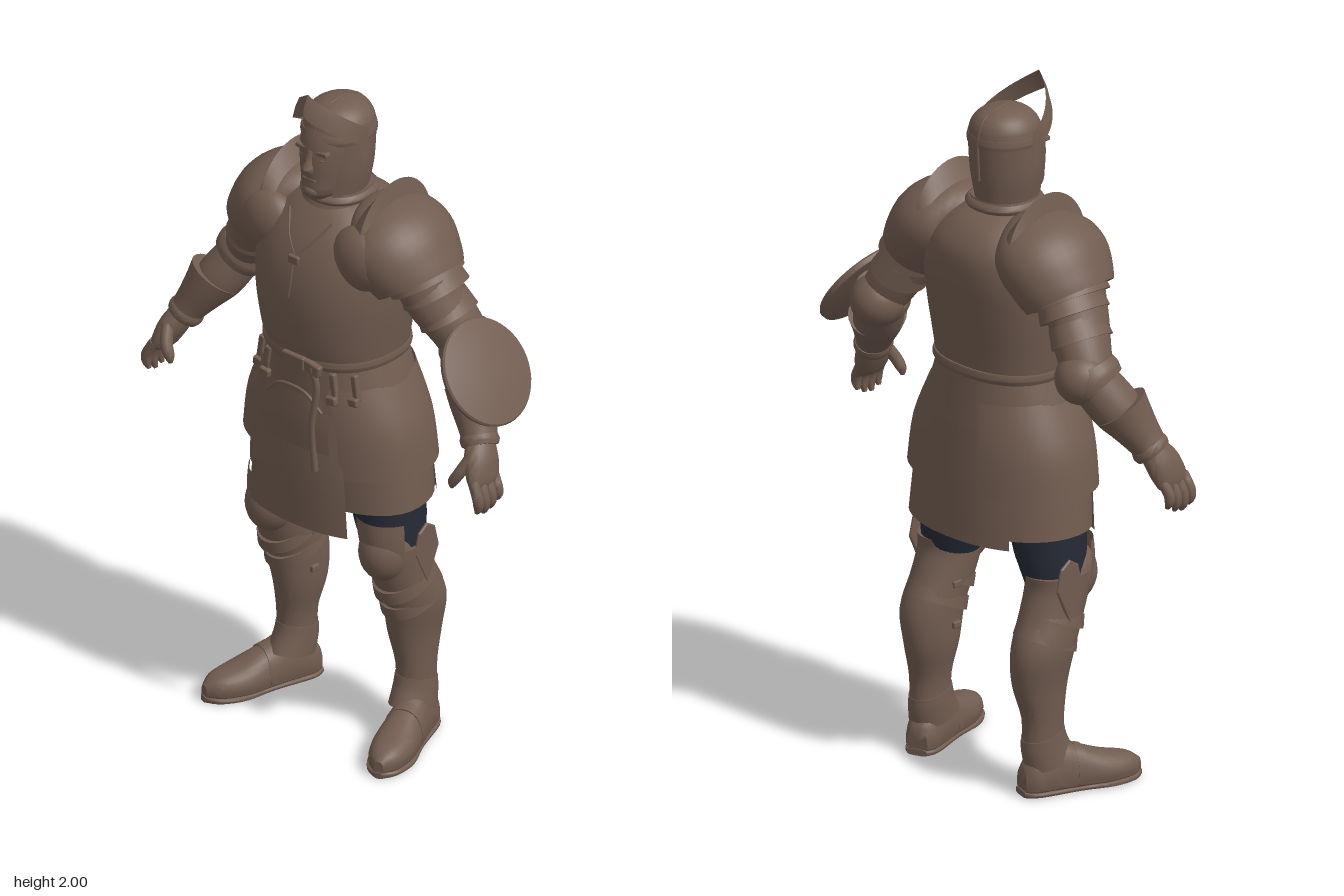
import * as THREE from 'three';
import { toCreasedNormals } from 'three/addons/utils/BufferGeometryUtils.js';
import { RoundedBoxGeometry } from 'three/addons/geometries/RoundedBoxGeometry.js';

const V = (x, y, z) => new THREE.Vector3(x, y, z);
const UP = V(0, 1, 0), FRONT = V(0, 0, 1), PI = Math.PI;

function surface(rows, caps) {
  const pos = [], idx = [], m = rows[0].length;
  rows.forEach(r => r.forEach(p => pos.push(p.x, p.y, p.z)));
  for (let i = 0; i < rows.length - 1; i++) for (let j = 0; j < m - 1; j++) {
    const a = i * m + j, c = a + m;
    idx.push(a, c, a + 1, a + 1, c, c + 1);
  }
  if (caps) [0, rows.length - 1].forEach((r, end) => {
    const mid = rows[r].reduce((q, p) => q.add(p), V(0, 0, 0)).divideScalar(m);
    const k = pos.length / 3;
    pos.push(mid.x, mid.y, mid.z);
    for (let j = 0; j < m - 1; j++) idx.push(k, r * m + j + (end ? 1 : 0), r * m + j + (end ? 0 : 1));
  });
  const g = new THREE.BufferGeometry();
  g.setAttribute('position', new THREE.Float32BufferAttribute(pos, 3));
  g.setIndex(idx);
  return toCreasedNormals(g, 0.75);
}

// Smooth loft through sections [x, y, z, sideRadius, frontRadius, backRadius?]
function loft(secs, { ref = FRONT, tan = null, n = 28, pow = 2, arc = null, caps = !arc, steps = 4 } = {}) {
  const S = secs.map(s => (s.length < 6 ? [...s, s[4]] : s)), K = S.length - 1, fine = [];
  const at = i => S[Math.min(K, Math.max(0, i))];
  for (let i = 0; i <= K * steps; i++) {
    const k = Math.min(K - 1, Math.floor(i / steps)), t = i / steps - k;
    fine.push(at(k).map((b, c) => {
      const a = at(k - 1)[c], d = at(k + 1)[c], e = at(k + 2)[c];
      return b + 0.5 * t * (d - a + t * (2 * a - 5 * b + 4 * d - e + t * (3 * (b - d) + e - a)));
    }));
  }
  const [a0, a1] = arc || [0, 2 * PI];
  const rows = fine.map((f, i) => {
    const p = fine[Math.max(0, i - 1)], q = fine[Math.min(fine.length - 1, i + 1)];
    const t = (tan ? tan.clone() : V(q[0] - p[0], q[1] - p[1], q[2] - p[2])).normalize();
    const w = ref.clone().addScaledVector(t, -ref.dot(t)).normalize();
    const s = t.clone().cross(w);
    return Array.from({ length: n + 1 }, (_, j) => {
      const th = a0 + (a1 - a0) * j / n, c = Math.cos(th), d = Math.sin(th);
      return V(f[0], f[1], f[2])
        .addScaledVector(s, f[3] * Math.sign(c) * Math.abs(c) ** (2 / pow))
        .addScaledVector(w, (d > 0 ? f[4] : f[5]) * Math.sign(d) * Math.abs(d) ** (2 / pow));
    });
  });
  return surface(rows, caps);
}

export function createModel() {
  const model = new THREE.Group();
  const steel = new THREE.MeshStandardMaterial({ color: 0x715c50, side: THREE.DoubleSide });
  steel.name = 'brown steel';
  const cloth = new THREE.MeshStandardMaterial({ color: 0x262a35, side: THREE.DoubleSide });
  cloth.name = 'navy cloth';
  const add = (name, geo, mat = steel) => {
    const m = new THREE.Mesh(geo, mat);
    m.name = name;
    model.add(m);
    return m;
  };
  const ball = (name, x, y, z, rx, ry, rz) => {
    const m = add(name, new THREE.SphereGeometry(1, 24, 16));
    m.position.set(x, y, z); m.scale.set(rx, ry, rz);
    return m;
  };
  const box = (name, x, y, z, w, h, d, rz = 0) => {
    const m = add(name, new RoundedBoxGeometry(w, h, d, 2, Math.min(w, h, d) * 0.3));
    m.position.set(x, y, z); m.rotation.z = rz;
    return m;
  };
  const tube = (name, pts, r) => add(name, new THREE.TubeGeometry(
    new THREE.CatmullRomCurve3(pts.map(p => V(...p))), 24, r, 6));
  const flat = (o = {}) => ({ tan: UP, pow: 2.3, n: 40, ...o });

  // Torso
  add('breastplate', loft([[0, 1.18, 0, .195, .185, .157], [0, 1.26, 0, .208, .205, .165], [0, 1.38, 0, .224, .215, .182],
    [0, 1.48, 0, .225, .2, .195], [0, 1.56, 0, .2, .165, .19], [0, 1.62, 0, .14, .12, .15], [0, 1.65, 0, .09, .09, .1]], flat()));
  add('gorget', loft([[0, 1.6, 0, .125, .13, .135], [0, 1.635, 0, .1, .105, .105], [0, 1.68, 0, .09, .09, .09]], flat({ caps: false })));
  add('gorgetRim', loft([[0, 1.65, 0, .097, .1, .1], [0, 1.662, 0, .103, .106, .104], [0, 1.675, 0, .094, .096, .094]], flat()));
  for (const s of [-1, 1]) tube('neckCord', [[s * .075, 1.615, .12], [s * .04, 1.56, .161], [0, 1.515, .185]], .004);
  box('chestClasp', 0, 1.505, .187, .038, .028, .016);
  tube('claspTail', [[0, 1.49, .195], [.004, 1.45, .205], [0, 1.4, .212]], .005);

  // Head
  add('head', loft([[0, 1.62, 0, .06, .07], [0, 1.665, .03, .045, .08], [0, 1.69, .035, .06, .095], [0, 1.73, .035, .07, .095],
    [0, 1.79, .03, .08, .098], [0, 1.85, .02, .085, .095], [0, 1.9, .01, .07, .08]], flat({ pow: 2.1 })));
  ball('chin', 0, 1.695, .115, .028, .02, .022);
  add('nose', loft([[0, 1.755, .122, .016, .018], [0, 1.768, .125, .017, .026], [0, 1.79, .122, .011, .018], [0, 1.82, .118, .011, .008]], { tan: UP, n: 12 }));
  box('mouth', 0, 1.732, .126, .045, .008, .01);
  for (const s of [-1, 1]) {
    box('brow', s * .032, 1.817, .11, .048, .014, .022, s * .1);
    ball('eye', s * .03, 1.797, .112, .012, .006, .009);
  }

  // Helmet with raised visor
  add('helmetDome', loft([[0, 1.845, 0, .099, .108, .102], [0, 1.88, 0, .095, .102, .099], [0, 1.91, 0, .077, .082, .084],
    [0, 1.93, 0, .045, .048, .052], [0, 1.938, 0, .004, .004, .004]], flat({ pow: 2 })));
  add('helmetSides', loft([[0, 1.675, .01, .082, .098, .095], [0, 1.75, .004, .096, .106, .099], [0, 1.85, 0, .099, .108, .102]],
    flat({ pow: 2, arc: [PI / 2 + .64, 2.5 * PI - .64] })));
  add('helmetBrowBand', loft([[0, 1.838, 0, .101, .112, .104], [0, 1.85, 0, .103, .114, .105], [0, 1.865, 0, .1, .108, .102]], flat({ pow: 2 })));
  tube('helmetKeel', [[0, 1.86, .107], [0, 1.9, .087], [0, 1.936, .01], [0, 1.908, -.084], [0, 1.85, -.102], [0, 1.74, -.099]], .004);
  const visorEdge = (y, drop, z, back) => Array.from({ length: 33 }, (_, i) => {
    const u = i / 16 - 1, a = Math.abs(u);
    return V(.106 * Math.sin(u * PI / 2), y - drop * a, z - back * a ** 1.4);
  });
  add('visor', surface([visorEdge(1.94, .1, .155, .12), visorEdge(1.97, .1, .147, .13), visorEdge(2, .12, .132, .13)]));
  for (const s of [-1, 1]) add('visorArm', surface([
    [V(s * .105, 1.885, .003), V(s * .106, 1.84, .036)], [V(s * .106, 1.81, .0), V(s * .107, 1.77, .018)]]));

  // Belt and skirt
  add('belt', loft([[0, 1.185, 0, .2, .192, .163], [0, 1.2, 0, .205, .197, .169], [0, 1.215, 0, .203, .195, .165]], flat()));
  box('beltBuckle', .01, 1.2, .2, .08, .04, .018);
  box('beltKnot', .07, 1.195, .193, .06, .035, .022, -.2);
  tube('beltTail', [[.07, 1.2, .198], [.085, 1.14, .193], [.075, 1.02, .2], [.085, .88, .2]], .01);
  add('skirt', loft([[0, 1.19, 0, .197, .182, .16], [0, 1.1, 0, .225, .182, .172], [0, 1, 0, .25, .185, .186],
    [0, .9, 0, .268, .18, .198], [0, .75, 0, .283, .165, .203]].reverse(), flat({ caps: false, pow: 2.2 })));
  const flap = (name, arc, y0, y1, g, front = .19, back = .2) => add(name, loft(
    [[0, y0, 0, .283 + g, front + g, back + g], [0, (y0 + y1) / 2, 0, .262 + g, front + g, back - .01 + g],
      [0, y1, 0, .285 - .32 * Math.max(0, y1 - .87) + g, .18 + g, .36 - .18 * y1 + .012 + g]], flat({ arc, pow: 2.2 })));
  flap('frontPanel', [.96, PI - .96], .685, 1.05, .008, .195);
  flap('backPanel', [PI + .9, 2 * PI - .7], .725, 1.05, .005, .17, .208);
  flap('leftTasset', [-1.25, 1.08], .865, 1.13, .012, .182);
  flap('rightTasset', [PI - 1.08, PI + 1.25], .865, 1.13, .012, .182);
  flap('pouch', [1.17, PI - 1.17], .935, 1.1, .018, .186);
  tube('fauldEdge', [[-.1, 1.06, .19], [-.05, 1.105, .195], [0, 1.115, .198], [.05, 1.105, .195], [.1, 1.06, .19]], .005);
  for (const s of [-1, 1]) for (const x of [.12, .17]) {
    box('tassetStrap', s * x, 1.14, x > .15 ? .128 : .16, .02, .08, .018, s * .15);
    box('tassetBuckle', s * x, 1.1, x > .15 ? .138 : .17, .035, .026, .02, s * .15);
  }

  for (const s of [-1, 1]) {
    const limb = (name, secs, opt, mat) => add(name, loft(secs.map(([x, ...r]) => [s * x, ...r]), opt), mat);

    // Shoulder
    limb('pauldron', [[.1, 1.585, -.012, .06, .08], [.125, 1.588, -.014, .09, .13], [.165, 1.572, -.018, .113, .163], [.212, 1.54, -.02, .127, .17],
      [.252, 1.49, -.022, .12, .156], [.274, 1.458, -.022, .114, .14]], { n: 36 });
    ball('pauldronWing', s * .165, 1.535, .1, .095, .095, .064);
    const collar = (x, ry, rz) => Array.from({ length: 25 }, (_, i) =>
      V(s * x, 1.56 + ry * Math.sin(i * PI / 24), -.02 + rz * Math.cos(i * PI / 24)));
    add('pauldronCollar', surface([collar(.12, .08, .13), collar(.145, .118, .152), collar(.18, .172, .152), collar(.192, .12, .15)]));
    limb('upperArm', [[.25, 1.54, -.02, .09, .11], [.31, 1.42, -.032, .076, .092], [.365, 1.33, -.062, .07, .08], [.4, 1.27, -.075, .066, .072]]);
    [[.28, 1.47, .098, .117], [.302, 1.435, .087, .106], [.34, 1.37, .076, .092]].forEach(([x, y, a, b], i) =>
      limb('armLame' + i, [[x - .02, y + .035, -.03 - i * .009, a - .008, b - .008], [x + .01, y - .015, -.033 - i * .01, a + .002, b + .002]]));

    // Elbow, forearm and cuff
    ball('elbowCop', s * .392, 1.275, -.094, .075, .075, .08);
    limb('elbowBand', [[.39, 1.295, -.075, .075, .082], [.405, 1.272, -.07, .081, .087], [.42, 1.25, -.062, .075, .082]]);
    limb('forearm', [[.41, 1.26, -.068, .064, .07], [.455, 1.185, -.028, .067, .072], [.5, 1.12, .008, .052, .056], [.535, 1.06, .032, .04, .045]]);
    limb('gauntletCuff', [[.465, 1.19, -.022, .078, .082], [.483, 1.155, -.006, .067, .072], [.515, 1.1, .018, .051, .056], [.54, 1.06, .035, .044, .049]]);
    limb('cuffRim', [[.523, 1.085, .022, .048, .053], [.53, 1.072, .028, .052, .057], [.537, 1.06, .033, .048, .053]]);

    // Hand
    limb('palm', [[.535, 1.07, .03, .034, .044], [.555, 1.03, .05, .036, .056], [.573, .985, .066, .028, .055], [.58, .965, .07, .018, .047]]);
    for (let i = 0; i < 4; i++) {
      const z = .026 + i * .027, l = [.8, .95, 1, .9][i];
      limb('finger' + i, [[.575, .99, z, .016, .015], [.597, .99 - .045 * l, z + .006, .016, .015],
        [.599, .99 - .075 * l, z + .006, .014, .013], [.591, .99 - .097 * l, z + .004, .006, .006]], { n: 10 });
    }
    limb('thumb', [[.548, 1.045, .085, .019, .019], [.53, 1.005, .11, .017, .018], [.513, .975, .118, .015, .015], [.508, .955, .118, .006, .006]], { n: 10 });

    // Leg
    limb('thigh', [[.2, .58, 0, .074, .085, .09], [.188, .64, 0, .086, .094, .103], [.176, .7, 0, .097, .1, .112], [.163, .82, 0, .105, .11, .12],
      [.15, .95, 0, .1, .12, .13]], flat({ pow: 2 }), cloth);
    limb('greave', [[.215, .13, -.07, .05, .065], [.215, .22, -.07, .052, .064], [.207, .32, -.073, .066, .086], [.212, .42, -.065, .077, .1],
      [.207, .52, -.025, .078, .1], [.205, .59, -.002, .08, .1], [.202, .63, 0, .084, .104]], flat({ pow: 2 }));
    limb('kneeTop', [[.205, .59, .005, .081, .102], [.2, .66, .006, .09, .108], [.193, .715, .006, .094, .106]],
      flat({ pow: 2, arc: [.45, PI - .45] }));
    ball('kneeCop', s * .205, .61, .042, .073, .09, .082);
    const tilt = V(0, 1, .45);
    [[.49, -.028, .08, .099], [.43, -.057, .08, .102]].forEach(([y, z, a, b], i) =>
      limb('kneeLame' + i, [[.21, y, z, a, b], [.208, y + .035, z + .012, a - .005, b - .004]], { tan: tilt, n: 32 }));
    const wing = new THREE.Shape([[0, -.1], [.045, 0], [.03, .06], [0, .08], [-.03, .06], [-.045, 0]].map(p => new THREE.Vector2(...p)));
    const plate = add('kneeWing', new THREE.ExtrudeGeometry(wing, { depth: .004, bevelSize: .003, bevelThickness: .003, bevelSegments: 1 }));
    plate.position.set(s * .28, .605, -.035); plate.rotation.y = s * PI / 2;
    for (const y of [.38, .5]) box('greaveBuckle', s * .134, y, -.05, .014, .02, .03);

    // Foot, turned outward
    const dir = V(s * .115, 0, .335), foot = (q, a, up, down, y = .03) => [.2 + .115 * q, y, -.135 + .335 * q, a, up, down];
    const along = { ref: UP, tan: dir, pow: 2.4 };
    limb('boot', [foot(0, .03, .05, .025), foot(.08, .047, .085, .027), foot(.28, .051, .115, .027), foot(.48, .056, .09, .027),
      foot(.7, .062, .06, .027), foot(.9, .045, .043, .027), foot(1, .014, .02, .02)], along);
    limb('sole', [foot(-.01, .03, .009, .009, .009), foot(.1, .05, .009, .009, .009), foot(.45, .053, .009, .009, .009),
      foot(.72, .065, .009, .009, .009), foot(.92, .046, .009, .009, .009), foot(1.01, .012, .009, .009, .009)], { ...along, pow: 4 });
    limb('bootLame', [foot(.42, .055, .1, .025), foot(.5, .058, .091, .025)], along);
    limb('ankleCuff', [[.22, .09, -.05, .058, .08], [.216, .14, -.066, .055, .072], [.215, .175, -.07, .053, .067]], { tan: V(0, 1, -.25) });
  }

  // Round shield on the left forearm
  const shield = new THREE.Group();
  shield.name = 'shield';
  const disc = new THREE.Mesh(toCreasedNormals(new THREE.LatheGeometry([[0, -.012], [.14, -.02], [.15, -.018], [.153, -.006],
    [.149, 0], [.1, .009], [0, .014]].map(p => new THREE.Vector2(...p)), 48), .6), steel);
  disc.name = 'shieldDisc';
  const strap = new THREE.Mesh(new RoundedBoxGeometry(.04, .06, .14, 2, .01), steel);
  strap.name = 'shieldStrap';
  strap.position.y = -.03;
  shield.add(disc, strap);
  shield.position.set(.527, 1.27, -.01);
  shield.rotation.z = -.96;
  model.add(shield);
  return model;
}
